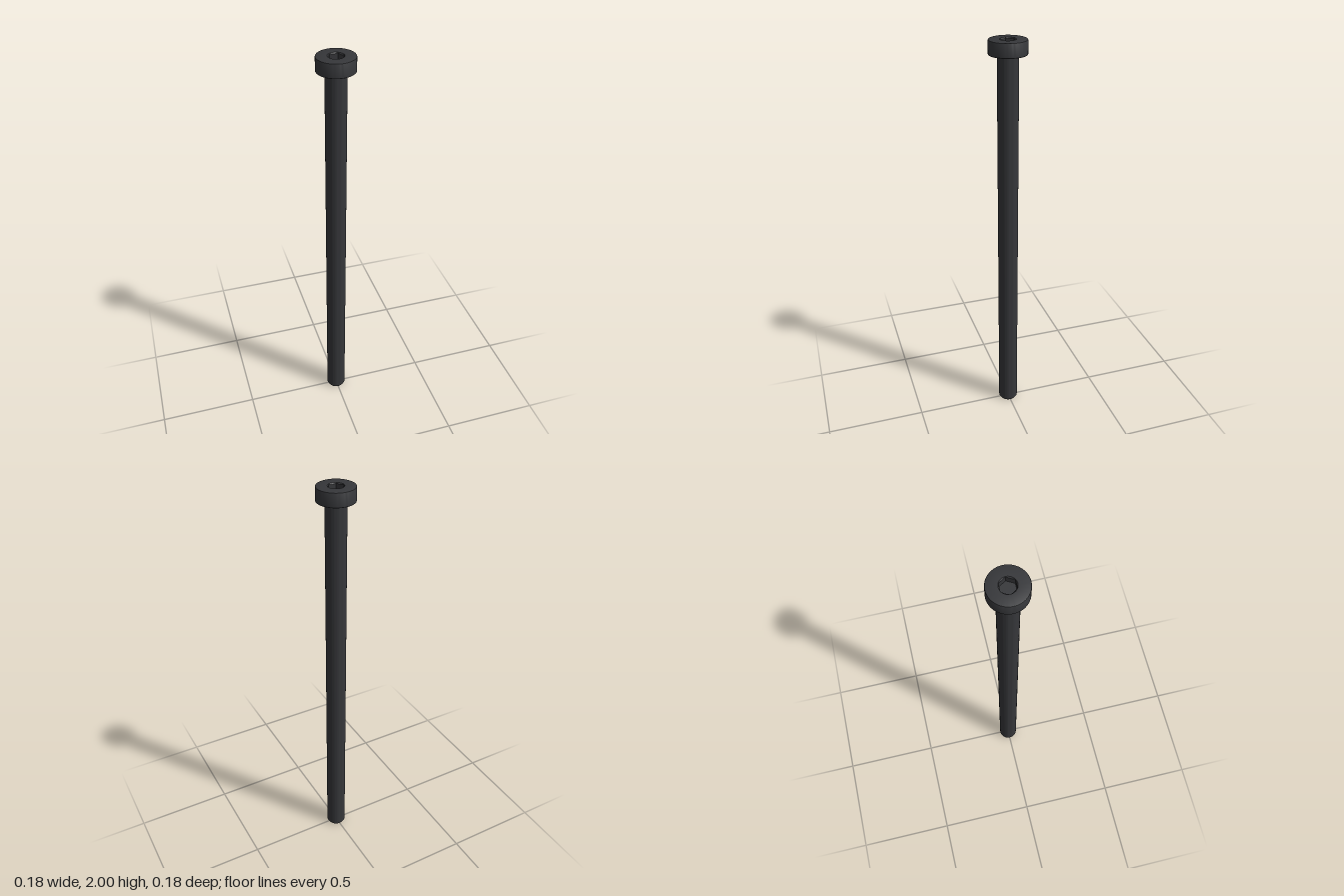
import * as THREE from 'three';
import { toCreasedNormals } from 'three/addons/utils/BufferGeometryUtils.js';

const SEGMENTS = 72;
const FLAT = 0.033; // half the width across the hex flats
const RIM = FLAT / Math.cos(Math.PI / 6);

const lathe = (points) =>
  new THREE.LatheGeometry(points.map(([r, y]) => new THREE.Vector2(r, y)), SEGMENTS);

// Reshape the circular socket wall into a hexagon with corners on the x axis
function makeHexagonal(geometry, firstRow, lastRow, rows) {
  const pos = geometry.attributes.position;
  for (let i = 0; i < pos.count; i++) {
    const row = i % rows;
    if (row < firstRow || row > lastRow) continue;
    const angle = Math.atan2(pos.getX(i), pos.getZ(i));
    const step = Math.PI / 3;
    const r = FLAT / Math.cos(angle - Math.round(angle / step) * step);
    // the upper row follows the conical countersink
    const y = row === firstRow ? 2 - 0.001 - (RIM - r) : pos.getY(i);
    pos.setXYZ(i, r * Math.sin(angle), y, r * Math.cos(angle));
  }
}

export function createModel() {
  const group = new THREE.Group();
  const material = new THREE.MeshStandardMaterial({ color: 0x36373a });
  const add = (name, geometry) => {
    const mesh = new THREE.Mesh(toCreasedNormals(geometry, 0.5), material);
    mesh.name = name;
    group.add(mesh);
  };

  // Shank with a chamfered tip
  add('shank', lathe([[0, 0], [0.044, 0], [0.05, 0.01], [0.05, 1.935]]));

  // Head: underside, side, softened top edge, then down into the socket
  const profile = [
    [0.049, 1.933], [0.088, 1.933], [0.09, 1.935], [0.09, 1.996], [0.0888, 1.9988], [0.086, 2],
    [RIM, 2], [FLAT, 1.999], [FLAT, 1.965], [0, 1.965],
  ];
  const head = lathe(profile);
  makeHexagonal(head, 7, 8, profile.length);
  add('socketHead', head);

  return group;
}
